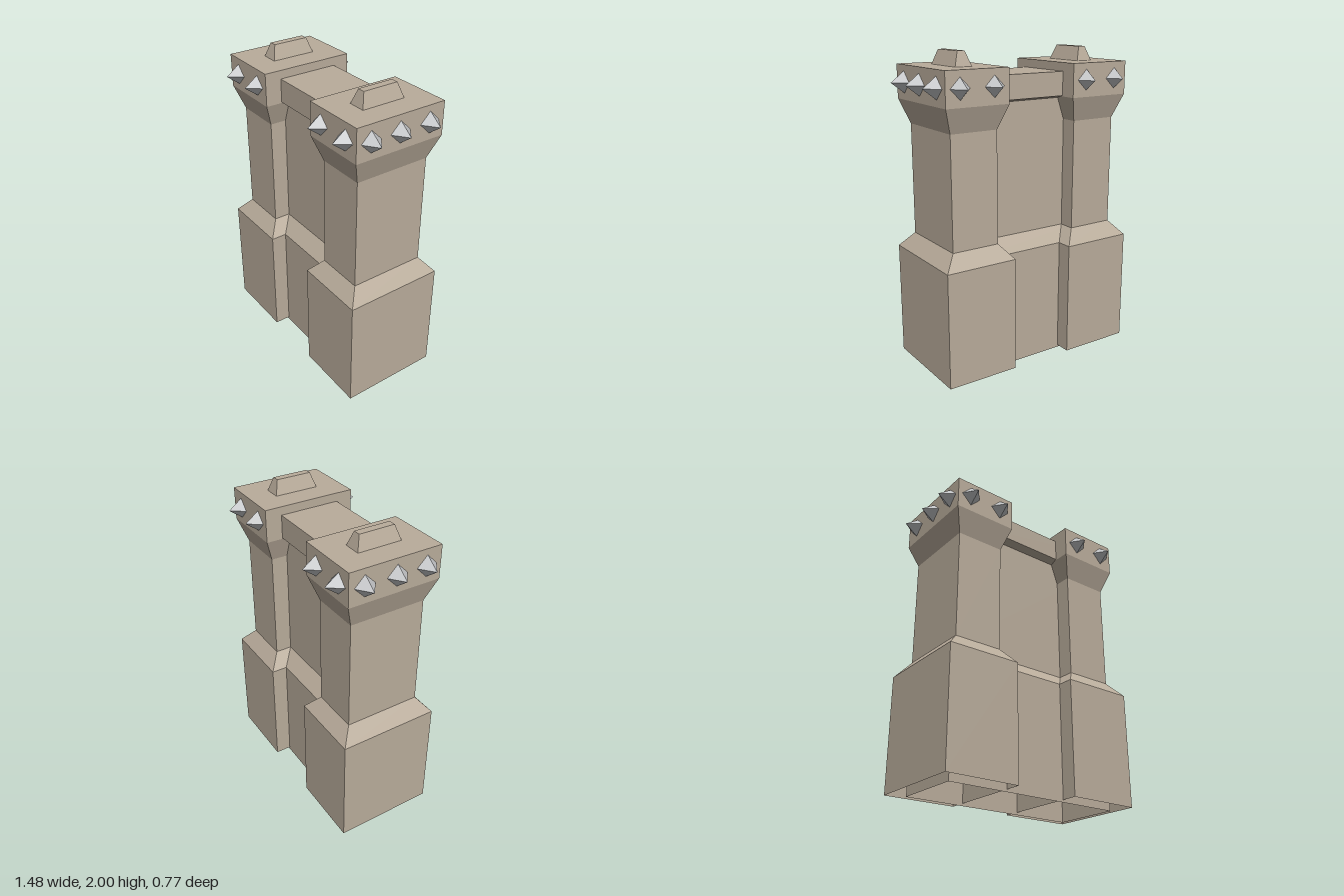
import * as THREE from 'three';

const material = (name, color) => new THREE.MeshStandardMaterial({
  name, color, flatShading: true, side: THREE.DoubleSide,
});

// Stack of rectangular rings [y, x0, x1, halfDepth], closed at the top, open at the bottom
function loft(rings) {
  const position = [];
  const corners = ([y, x0, x1, z]) => [[x0, y, z], [x1, y, z], [x1, y, -z], [x0, y, -z]];
  const quad = (a, b, c, d) => position.push(...a, ...b, ...c, ...a, ...c, ...d);
  for (let i = 0; i < rings.length - 1; i++) {
    const low = corners(rings[i]);
    const high = corners(rings[i + 1]);
    for (let k = 0; k < 4; k++) {
      const n = (k + 1) % 4;
      quad(low[k], low[n], high[n], high[k]);
    }
  }
  quad(...corners(rings[rings.length - 1]));
  const geometry = new THREE.BufferGeometry();
  geometry.setAttribute('position', new THREE.Float32BufferAttribute(position, 3));
  geometry.computeVertexNormals();
  return geometry;
}

export function createModel() {
  const model = new THREE.Group();
  model.name = 'gatehouse';
  const stone = material('stone', 0xb9ac9b);
  const steel = material('steel', 0xc2c4c6);

  const add = (parent, name, geometry, mat) => {
    const mesh = new THREE.Mesh(geometry, mat);
    mesh.name = name;
    parent.add(mesh);
    return mesh;
  };

  // Connecting wall, running through both towers
  add(model, 'wall', loft([
    [0, -0.595, 0.595, 0.222],
    [0.752, -0.595, 0.595, 0.222],
    [0.845, -0.55, 0.55, 0.14],
    [1.69, -0.55, 0.55, 0.14],
  ]), stone);
  add(model, 'wallParapet', loft([
    [1.69, -0.4, 0.4, 0.14],
    [1.707, -0.4, 0.4, 0.195],
    [1.857, -0.4, 0.4, 0.195],
  ]), stone);

  // Tower profile and crest, given for the +x side
  const towerRings = [
    [0.015, 0.208, 0.682, 0.325],
    [0.752, 0.208, 0.682, 0.325],
    [0.845, 0.287, 0.6, 0.247],
    [1.55, 0.287, 0.6, 0.247],
    [1.702, 0.234, 0.654, 0.301],
    [1.911, 0.234, 0.654, 0.301],
  ];
  const crestRings = [
    [1.911, 0.388, 0.5, 0.143],
    [2.0, 0.42, 0.468, 0.115],
  ];
  const mirror = (rings, s) => rings.map(([y, a, b, z]) => (s > 0 ? [y, a, b, z] : [y, -b, -a, z]));

  // Four-sided spike pointing along +z, with its base on the origin
  const spike = new THREE.ConeGeometry(0.066, 0.088, 4);
  spike.translate(0, 0.044, 0);
  spike.rotateX(Math.PI / 2);

  for (const s of [1, -1]) {
    const tower = new THREE.Group();
    tower.name = s > 0 ? 'leftTower' : 'rightTower';
    model.add(tower);
    add(tower, 'towerBody', loft(mirror(towerRings, s)), stone);
    add(tower, 'towerCrest', loft(mirror(crestRings, s)), stone);

    const addSpike = (x, z, turn) => {
      const mesh = add(tower, 'spike', spike, steel);
      mesh.position.set(x, 1.808, z);
      mesh.rotation.y = turn;
    };
    // Front and back spikes
    for (const x of [0.335, 0.56]) {
      addSpike(s * x, 0.299, 0);
      addSpike(s * x, -0.299, Math.PI);
    }
    // Spikes on the outer end
    for (const z of [-0.2, 0.007, 0.204]) addSpike(s * 0.654, z, s * Math.PI / 2);
  }
  return model;
}
